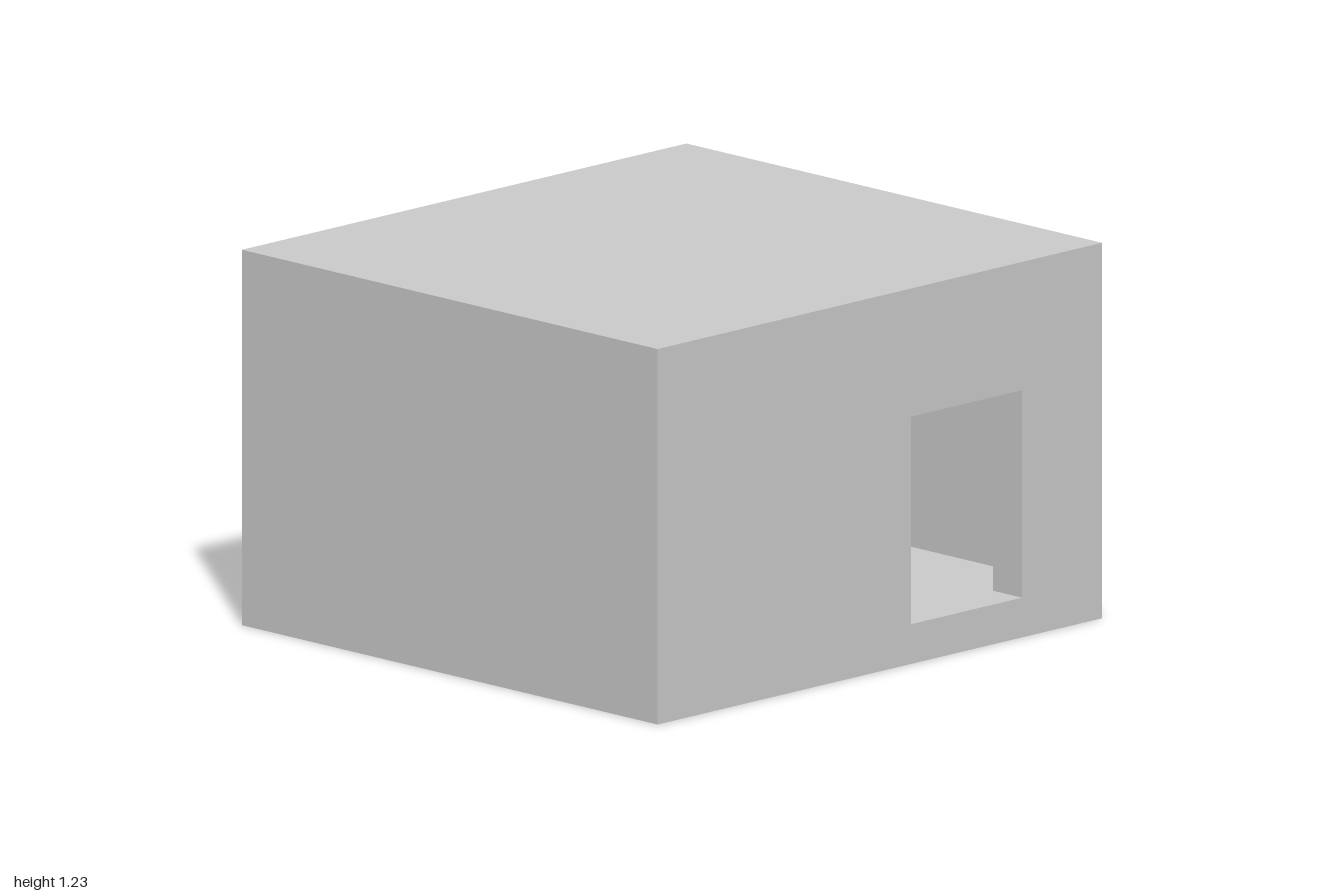
import * as THREE from 'three';

const W = 1.87, H = 1.23, D = 2, T = 0.13; // outer size and wall thickness
const CEIL = H - T, COVE = 0.035, COVE_R = 0.76;
const mat = new THREE.MeshStandardMaterial({ color: 0xcccccc });

function add(parent, name, geometry, x = 0, y = 0, z = 0) {
  const mesh = new THREE.Mesh(geometry, mat);
  mesh.name = name;
  mesh.position.set(x, y, z);
  parent.add(mesh);
  return mesh;
}

function rect(Type, a, b, c, d) {
  const p = new Type();
  p.moveTo(a, b);
  p.lineTo(c, b);
  p.lineTo(c, d);
  p.lineTo(a, d);
  p.closePath();
  return p;
}

// Upright panel in the z-y plane with rectangular holes; it runs from x = 0 to x = -depth
function panel(outer, holes, depth) {
  const shape = rect(THREE.Shape, ...outer);
  holes.forEach(h => shape.holes.push(rect(THREE.Path, ...h)));
  return new THREE.ExtrudeGeometry(shape, { depth, bevelEnabled: false }).rotateY(-Math.PI / 2);
}

// Two-leaf sliding window, z and y relative to the lower back corner of the opening
function slidingWindow(w, h) {
  const g = new THREE.Group();
  g.name = 'slidingWindow';
  const f = 0.012, mid = w / 2;
  add(g, 'windowFrame', panel([0, 0, w, h], [[f, f, w - f, h - f]], 0.08), -0.825);
  // outer leaf: rails around a thin pane
  add(g, 'outerSash', panel([f, f, mid + 0.005, h - f],
    [[f + 0.015, f + 0.013, mid - 0.01, h - f - 0.013]], 0.025), -0.875);
  add(g, 'outerPane', new THREE.BoxGeometry(0.008, h - 2 * f, mid - f), -0.887, h / 2, (mid + f) / 2);
  // inner leaf, set deeper
  add(g, 'innerSash', panel([mid - 0.005, f, w - f, h - f],
    [[mid + 0.01, f + 0.013, w - f - 0.013, h - f - 0.013]], 0.025), -0.85);
  add(g, 'innerPane', new THREE.BoxGeometry(0.008, h - 2 * f, mid - f), -0.862, h / 2, (3 * mid - f) / 2);
  return g;
}

export function createModel() {
  const room = new THREE.Group();
  room.name = 'room';
  const innerW = W - 2 * T, innerD = D - 2 * T;
  const side = [-D / 2, 0, D / 2, H];

  // Side walls with the doorway and the two window openings
  add(room, 'doorWall', panel(side, [[-0.64, 0.13, -0.14, 0.81]], T), W / 2);
  const winW = 0.385, winY = 0.39, winH = 0.585, starts = [-0.645, 0.255];
  add(room, 'windowWall',
    panel(side, starts.map(z => [z, winY, z + winW, winY + winH]), T), -W / 2 + T);

  // Front and back walls, floor and roof
  for (const s of [1, -1]) {
    add(room, s > 0 ? 'frontWall' : 'backWall',
      new THREE.BoxGeometry(innerW, H, T), 0, H / 2, s * (D - T) / 2);
  }
  add(room, 'floor', new THREE.BoxGeometry(innerW, T, innerD), 0, T / 2, 0);
  add(room, 'roof', new THREE.BoxGeometry(innerW, T - COVE, innerD), 0, H - (T - COVE) / 2, 0);

  // Ceiling with a shallow round recess
  const ceiling = rect(THREE.Shape, -innerW / 2, -innerD / 2, innerW / 2, innerD / 2);
  ceiling.holes.push(new THREE.Path().absarc(0, 0, COVE_R, 0, Math.PI * 2, true));
  add(room, 'ceiling', new THREE.ExtrudeGeometry(ceiling,
    { depth: COVE, bevelEnabled: false, curveSegments: 32 }).rotateX(-Math.PI / 2), 0, CEIL, 0);

  // Windows
  for (const z of starts) {
    const win = slidingWindow(winW, winH);
    win.position.set(0, winY, z);
    room.add(win);
  }
  return room;
}
